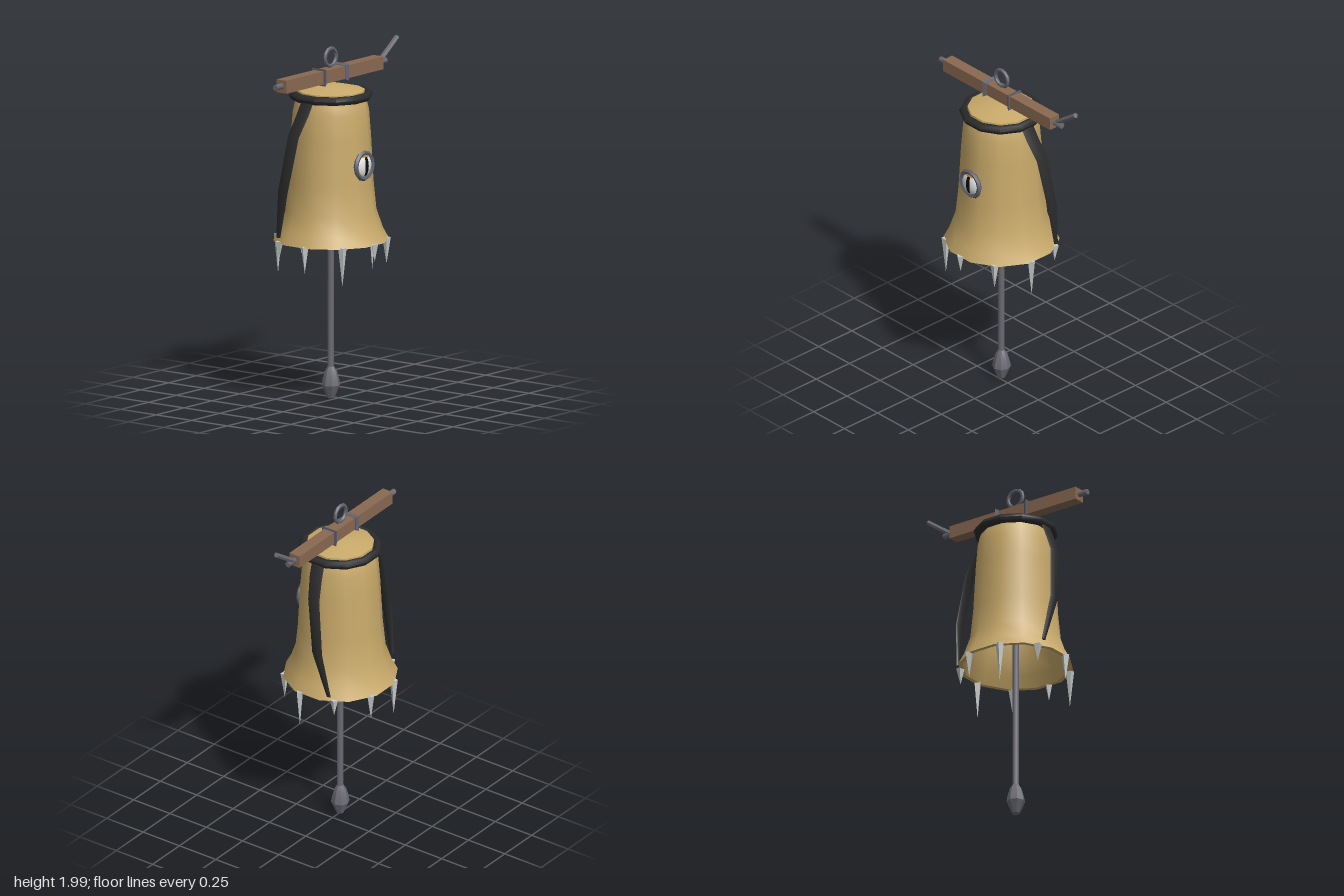
import * as THREE from 'three';
import { toCreasedNormals } from 'three/addons/utils/BufferGeometryUtils.js';

const mat = (name, color, extra = {}) => {
  const m = new THREE.MeshStandardMaterial({ color, ...extra });
  m.name = name;
  return m;
};

export function createModel() {
  const brass = mat('brass', 0xc9aa6a);
  const wood = mat('wood', 0x8a6a52);
  const metal = mat('metal', 0x6b6a73);
  const steel = mat('steel', 0x62636e);
  const leather = mat('black leather', 0x2b2b2b);
  const bone = mat('spike silver', 0xc6ccca);
  const white = mat('eye white', 0xe4e6e4);
  const black = mat('pupil black', 0x0c0c0c, { side: THREE.DoubleSide });
  const gold = mat('eyelid gold', 0xb5893f, { side: THREE.DoubleSide });

  const model = new THREE.Group();
  model.name = 'hangingBell';
  const CX = -0.06, CZ = -0.008;

  const add = (name, geo, material, x = CX, y = 0, z = CZ, parent = model) => {
    const mesh = new THREE.Mesh(geo, material);
    mesh.name = name;
    mesh.position.set(x, y, z);
    parent.add(mesh);
    return mesh;
  };
  const crease = (geo, angle = 0.65) => toCreasedNormals(geo, angle);
  const lathe = (pts, sides, start = 0) =>
    new THREE.LatheGeometry(pts.map(([r, y]) => new THREE.Vector2(r, y)), sides, start);
  const rod = (name, a, b, r, material, sides = 8) => {
    const p = new THREE.Vector3(...a), d = new THREE.Vector3(...b).sub(p);
    const mesh = add(name, crease(new THREE.CylinderGeometry(r, r, d.length(), sides), 0.9), material);
    mesh.position.copy(p).addScaledVector(d, 0.5);
    mesh.quaternion.setFromUnitVectors(new THREE.Vector3(0, 1, 0), d.normalize());
    return mesh;
  };

  // Bell: one closed profile, inner wall down, rim, outer wall up, domed cap
  const profile = [
    [0, 1.73], [0.165, 1.71], [0.193, 1.62], [0.205, 1.5], [0.22, 1.24], [0.233, 1.08], [0.268, 0.98], [0.297, 0.915],
    [0.322, 0.915], [0.29, 0.975], [0.254, 1.08], [0.238, 1.24], [0.224, 1.5], [0.213, 1.64],
    [0.202, 1.69], [0.189, 1.725], [0.189, 1.757], [0.07, 1.785], [0, 1.786],
  ];
  add('bell', crease(lathe(profile, 12, Math.PI / 12)), brass);

  // Leather collar
  const collar = new THREE.TorusGeometry(0.21, 0.025, 6, 12);
  collar.rotateZ(Math.PI / 12).rotateX(Math.PI / 2);
  add('collar', crease(collar, 1.1), leather, CX, 1.73);

  // Side straps: flattened oval sections [offset, y, z, half width]
  const path = [
    [0.2, 1.735, -0.008, 0.042], [0.24, 1.65, -0.018, 0.042], [0.293, 1.53, -0.042, 0.038],
    [0.326, 1.22, -0.09, 0.034], [0.295, 0.95, -0.146, 0.014],
  ];
  const strap = (s) => {
    const N = 8, pos = [], idx = [];
    path.forEach(([x, y, z, w]) => {
      for (let i = 0; i < N; i++) {
        const a = (i / N) * Math.PI * 2;
        pos.push(s * (x + 0.007 * Math.cos(a)), y, z + w * Math.sin(a));
      }
    });
    const tri = (a, b, c) => (s > 0 ? idx.push(a, b, c) : idx.push(a, c, b));
    for (let k = 0; k < path.length - 1; k++) {
      for (let i = 0; i < N; i++) {
        const a = k * N + i, b = k * N + ((i + 1) % N);
        tri(a, b, a + N);
        tri(b, b + N, a + N);
      }
    }
    const end = (path.length - 1) * N;
    for (let i = 1; i < N - 1; i++) {
      tri(0, i + 1, i);
      tri(end, end + i, end + i + 1);
    }
    const g = new THREE.BufferGeometry();
    g.setAttribute('position', new THREE.Float32BufferAttribute(pos, 3));
    g.setIndex(idx);
    return crease(g, 1.1);
  };
  add('leftStrap', strap(1), leather, CX, 0, 0);
  add('rightStrap', strap(-1), leather, CX, 0, 0);

  // Spikes around the rim in a repeating short, middle, long pattern
  const spikes = new THREE.Group();
  spikes.name = 'rimSpikes';
  model.add(spikes);
  const lengths = [0.1, 0.15, 0.22];
  for (let i = 0; i < 9; i++) {
    const a = (i * Math.PI * 2) / 9, h = lengths[i % 3];
    const g = new THREE.ConeGeometry(0.024, h, 4).toNonIndexed();
    g.computeVertexNormals();
    const spike = add('spike', g, bone, CX + 0.308 * Math.sin(a), 0.922 - h / 2, CZ + 0.308 * Math.cos(a), spikes);
    spike.rotation.set(Math.PI, -a, 0);
  }

  // Clapper
  rod('clapperRod', [CX, 0.17, CZ], [CX, 1.74, CZ], 0.018, metal);
  const bulb = lathe([[0, 0.008], [0.022, 0.02], [0.052, 0.09], [0.047, 0.12], [0.033, 0.17], [0.016, 0.198], [0, 0.2]], 8);
  add('clapperBulb', crease(bulb, 0.4), metal);

  // Beam with axle, crank lever, clamps and hanging ring
  add('beam', new THREE.BoxGeometry(0.87, 0.073, 0.068), wood, -0.065, 1.843, -0.01);
  rod('axle', [-0.558, 1.845, -0.01], [0.432, 1.845, -0.01], 0.017, metal);
  rod('crankLever', [0.375, 1.842, -0.012], [0.54, 1.96, -0.012], 0.015, metal, 6);
  for (const s of [-1, 1]) {
    const g = new THREE.CylinderGeometry(0.068, 0.056, 0.017, 4);
    g.rotateY(Math.PI / 4).rotateZ(-s * Math.PI / 2);
    add('beamClamp', crease(g, 0.4), steel, CX + s * 0.097, 1.843, -0.01);
  }
  add('hangingRing', crease(new THREE.TorusGeometry(0.05, 0.011, 6, 12), 0.8), steel, CX, 1.94, -0.01);

  // Eye on the front of the bell
  const eye = new THREE.Group();
  eye.name = 'eye';
  eye.position.set(CX, 1.355, 0.212);
  model.add(eye);
  const part = (name, geo, material, z = 0) => add(name, geo, material, 0, 0, z, eye);
  part('eyeRing', crease(new THREE.TorusGeometry(0.073, 0.014, 5, 12), 0.6), steel, 0.014);
  const flat = (g) => g.scale(1, 1, 0.5);
  part('eyeball', flat(new THREE.SphereGeometry(0.07, 24, 16)), white);
  part('pupil', flat(new THREE.SphereGeometry(0.0725, 4, 12, Math.PI / 2 - 0.19, 0.38, Math.PI * 0.23, Math.PI * 0.54)), black);
  part('upperEyelid', flat(new THREE.SphereGeometry(0.076, 16, 5, 0, Math.PI, 0, Math.PI * 0.27)), gold);

  return model;
}
